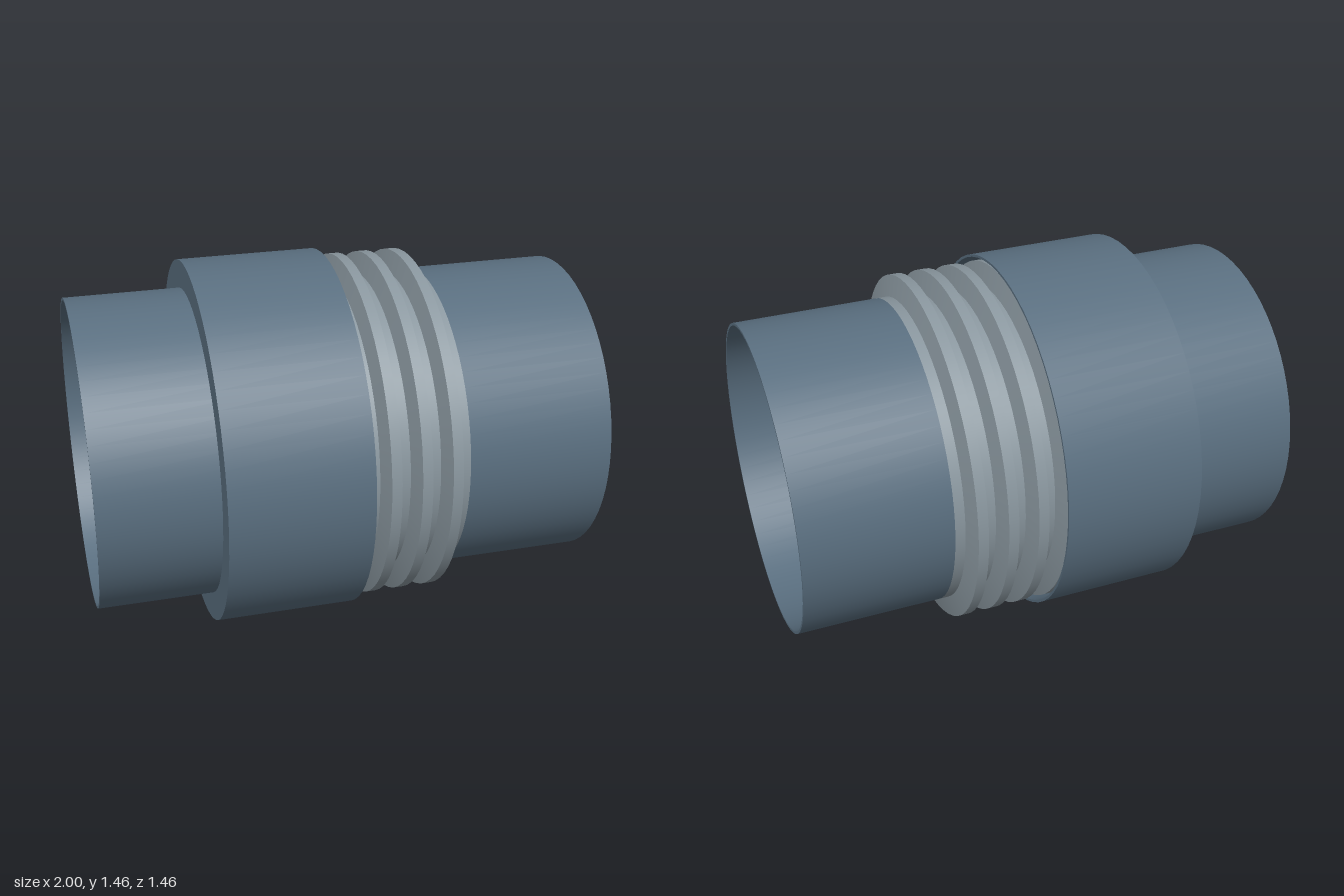
import * as THREE from 'three';
import { mergeGeometries } from 'three/addons/utils/BufferGeometryUtils.js';

const SIDES = 64;
const AXIS_Y = 0.73;
const PIPE_R = 0.618;
const BORE_R = 0.608;
const BELLOWS_END = 0.42;

// Turns a profile of [x, radius] points around the x axis, round about the axis but
// with a sharp edge at every profile point. Running towards +x faces outward.
function turned(name, profile, material) {
  const bands = [];
  for (let i = 0; i < profile.length - 1; i++) {
    const pair = [profile[i], profile[i + 1]].map(([x, r]) => new THREE.Vector2(r, x));
    bands.push(new THREE.LatheGeometry(pair, SIDES));
  }
  const geometry = mergeGeometries(bands);
  geometry.rotateZ(-Math.PI / 2);
  const mesh = new THREE.Mesh(geometry, material);
  mesh.name = name;
  mesh.position.y = AXIS_Y;
  return mesh;
}

// Closed thin-walled tube between two x positions
function pipe(name, x0, x1, material) {
  return turned(name, [
    [x0, BORE_R], [x0, PIPE_R], [x1, PIPE_R], [x1, BORE_R], [x0, BORE_R],
  ], material);
}

export function createModel() {
  const group = new THREE.Group();
  group.name = 'expansionJoint';
  const steel = new THREE.MeshStandardMaterial({ color: 0x5a6f80 });
  const grey = new THREE.MeshStandardMaterial({ color: 0x8a979f, side: THREE.DoubleSide });

  // Pipe stubs at both ends
  group.add(pipe('rightPipe', -1, -BELLOWS_END, steel));
  group.add(pipe('leftPipe', BELLOWS_END, 1, steel));

  // Bellows: thin sheet with seven trapezoid ridges, each followed by a flat valley
  const ridges = 7;
  const pitch = (2 * BELLOWS_END) / ridges;
  const profile = [];
  for (let i = 0; i < ridges; i++) {
    const x = -BELLOWS_END + i * pitch;
    profile.push([x, PIPE_R], [x + 0.02, 0.703], [x + 0.06, 0.703], [x + 0.08, PIPE_R]);
  }
  profile.push([BELLOWS_END, PIPE_R]);
  group.add(turned('bellows', profile, grey));

  // Cover sleeve: closed end plate on the pipe, open over the middle of the bellows
  group.add(turned('coverSleeve', [
    [-0.54, PIPE_R], [-0.54, 0.73], [0.013, 0.73], [0.013, 0.72],
    [-0.53, 0.72], [-0.53, PIPE_R],
  ], steel));

  return group;
}
